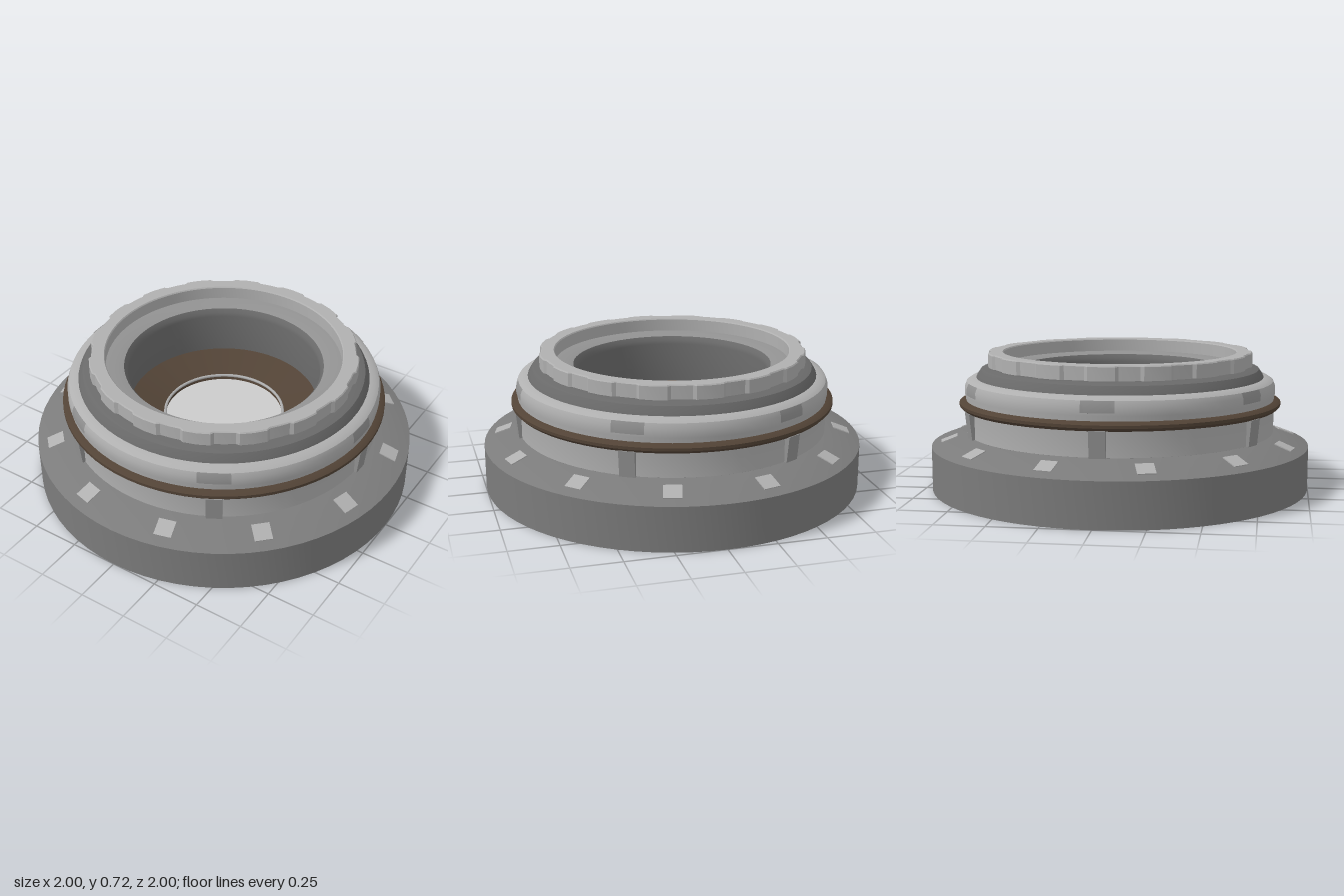
import * as THREE from 'three';
import { toCreasedNormals } from 'three/addons/utils/BufferGeometryUtils.js';

const paint = (color) => new THREE.MeshStandardMaterial({ color });
const light = paint(0xcccccc);
const steel = paint(0xb0b0b0);
const plate = paint(0x929292);
const iron = paint(0x7c7c7c);
const shadow = paint(0x6a6a6a);
const bronze = paint(0x524336);

export function createModel() {
  const model = new THREE.Group();

  const add = (name, geometry, material, parent = model) => {
    const mesh = new THREE.Mesh(geometry, material);
    mesh.name = name;
    parent.add(mesh);
    return mesh;
  };

  // Turned part: profile of [radius, height], bottom to top on the outside
  const lathe = (profile, segments = 72, start = 0, length = Math.PI * 2) => {
    const points = profile.map(([r, y]) => new THREE.Vector2(r, y));
    return toCreasedNormals(new THREE.LatheGeometry(points, segments, start, length), 0.5);
  };
  const turned = (name, profile, material) => add(name, lathe(profile), material);

  // Flat disc lying level
  const disc = (name, radius, y, material, turn) => {
    const mesh = add(name, new THREE.CircleGeometry(radius, 72), material);
    mesh.rotation.x = turn;
    mesh.position.y = y;
  };

  // Equal pieces set around the axis; the geometry sits on the +x side
  const around = (name, count, offset, geometry, material) => {
    const ring = new THREE.Group();
    ring.name = name + 'Ring';
    for (let i = 0; i < count; i++) {
      add(name, geometry, material, ring).rotation.y = offset + (i / count) * Math.PI * 2;
    }
    model.add(ring);
  };

  // Wide foot with a sloped shoulder and closed underside
  disc('underside', 1, 0, steel, Math.PI / 2);
  turned('base', [[1, 0], [1, 0.23], [0.8, 0.305], [0.78, 0.305]], iron);

  // Upright band with rounded collar, then the darker neck
  turned('collar', [
    [0.8, 0.29], [0.815, 0.3], [0.815, 0.48], [0.82, 0.5], [0.82, 0.545],
    [0.81, 0.57], [0.79, 0.583], [0.76, 0.588],
  ], steel);
  turned('neck', [[0.76, 0.588], [0.755, 0.6], [0.735, 0.63], [0.69, 0.642], [0.62, 0.642]], shadow);

  // Thin bronze trim around the collar
  turned('trimRing', [[0.81, 0.425], [0.835, 0.43], [0.85, 0.445], [0.85, 0.46], [0.835, 0.47], [0.81, 0.475]], bronze);

  // Rim with sixteen shallow teeth and a round opening
  const rimShape = new THREE.Shape();
  const teeth = 16;
  for (let i = 0; i < teeth; i++) {
    [[-0.24, 0.693], [0, 0.695], [0.24, 0.693], [0.3, 0.681], [0.5, 0.681], [0.7, 0.681]].forEach(([t, r], j) => {
      const a = ((i + t) / teeth) * Math.PI * 2;
      rimShape[i + j ? 'lineTo' : 'moveTo'](r * Math.cos(a), r * Math.sin(a));
    });
  }
  rimShape.closePath();
  const opening = new THREE.Path();
  opening.absarc(0, 0, 0.62, 0, Math.PI * 2, true);
  rimShape.holes.push(opening);
  const rim = new THREE.ExtrudeGeometry(rimShape, {
    depth: 0.068, curveSegments: 48, bevelSize: 0.005, bevelThickness: 0.006, bevelSegments: 1,
  });
  rim.rotateX(-Math.PI / 2).translate(0, 0.646, 0);
  add('rim', toCreasedNormals(rim, 0.5), steel);

  // Inner ledge and well wall, running down from the rim
  turned('ledge', [[0.63, 0.65], [0.56, 0.648], [0.52, 0.64]], plate);
  turned('wellWall', [[0.52, 0.64], [0.505, 0.62], [0.5, 0.6], [0.5, 0.38]], shadow);

  // Bronze dish sloping to a lipped flat floor
  turned('dish', [[0.505, 0.385], [0.49, 0.38], [0.32, 0.33], [0.31, 0.3]], bronze);
  const lip = add('floorLip', new THREE.TorusGeometry(0.315, 0.008, 6, 72), steel);
  lip.rotation.x = Math.PI / 2;
  lip.position.y = 0.328;
  disc('floor', 0.32, 0.305, light, -Math.PI / 2);

  // Six posts below the trim
  const post = new THREE.BoxGeometry(0.04, 0.135, 0.08).rotateZ(-0.1).translate(0.815, 0.367, 0);
  around('post', 6, 0, post, plate);

  // Six thin curved plates on the collar
  const plateArc = lathe([[0.818, 0.512], [0.823, 0.513], [0.823, 0.545], [0.813, 0.571], [0.806, 0.57]], 8, Math.PI / 2 - 0.1, 0.2);
  around('collarPlate', 6, 0, plateArc, plate);

  // Twelve pads on the shoulder
  const pad = new THREE.BoxGeometry(0.09, 0.01, 0.09).rotateZ(-0.36).translate(0.905, 0.265, 0);
  around('shoulderPad', 12, Math.PI / 12, pad, steel);

  return model;
}
